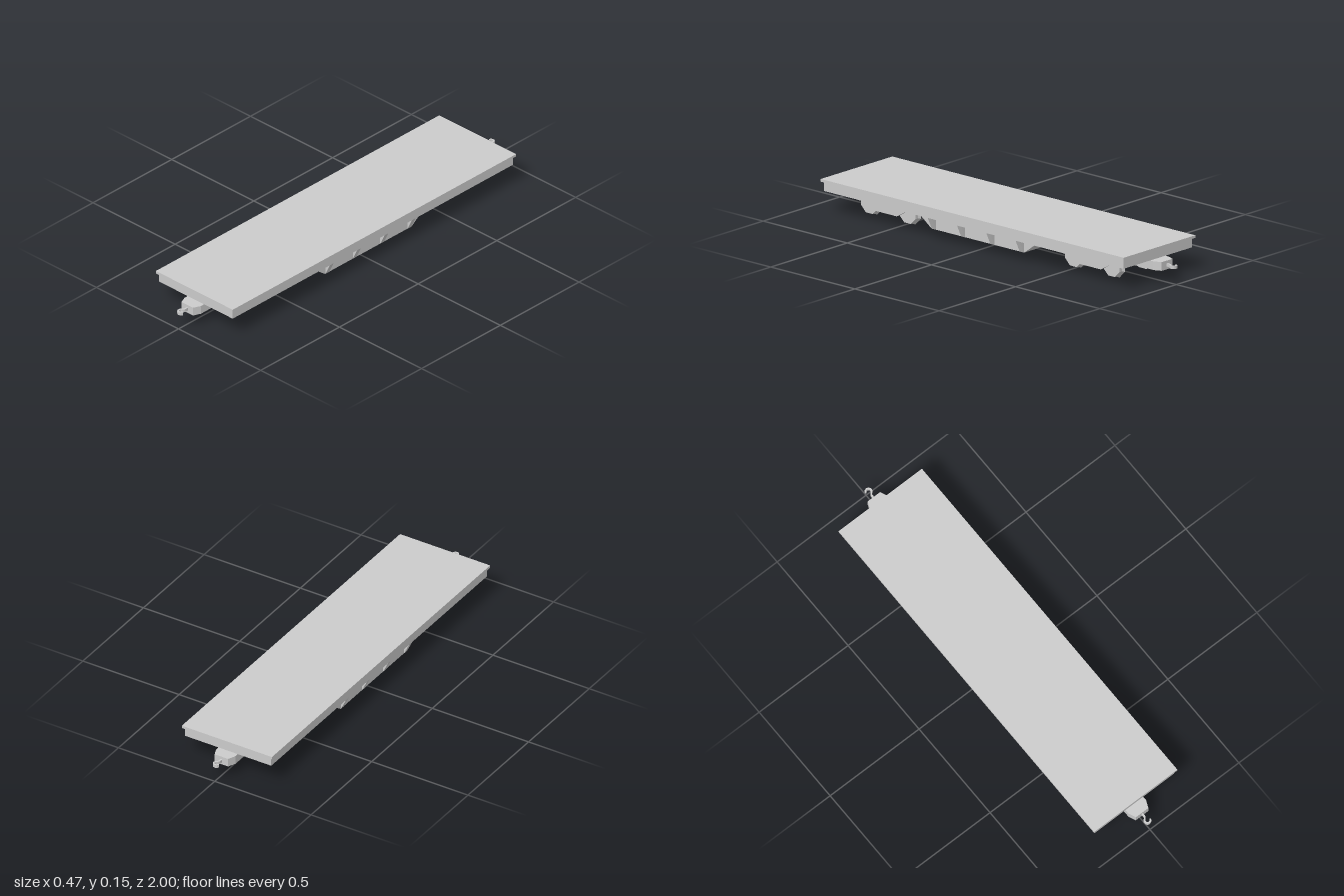
import * as THREE from 'three';

const mat = new THREE.MeshStandardMaterial({ color: 0xcccccc, flatShading: true });

function add(parent, name, geo, x = 0, y = 0, z = 0) {
  const m = new THREE.Mesh(geo, mat);
  m.name = name;
  m.position.set(x, y, z);
  parent.add(m);
  return m;
}

function extrude(points, depth) {
  const shape = new THREE.Shape(points.map(([a, b]) => new THREE.Vector2(a, b)));
  return new THREE.ExtrudeGeometry(shape, { depth, bevelEnabled: false, curveSegments: 6 });
}

// Outline given as (z, y), swept across x and centred on x = 0
function sideProfile(points, width) {
  return extrude(points, width).translate(0, 0, -width / 2).rotateY(-Math.PI / 2);
}

// Eight-sided wheel with its flange towards the track centre
function wheelGeometry() {
  const profile = [[0, -0.0135], [0.06, -0.0135], [0.052, -0.001], [0.052, 0.0135], [0, 0.0135]]
    .map(([r, h]) => new THREE.Vector2(r, h));
  return new THREE.LatheGeometry(profile, 8, Math.PI / 8).rotateZ(-Math.PI / 2);
}

function createBogie() {
  const bogie = new THREE.Group();
  bogie.name = 'bogie';
  const wheel = wheelGeometry();
  const frame = sideProfile([
    [-0.168, 0.062], [-0.115, 0.062], [-0.065, 0.033], [0.065, 0.033],
    [0.115, 0.062], [0.168, 0.062], [0.168, 0.085], [-0.168, 0.085],
  ], 0.017);
  for (const side of [1, -1]) {
    add(bogie, 'sideFrame', frame, side * 0.1235);
    for (const z of [0.1135, -0.1135]) {
      const w = add(bogie, 'wheel', wheel, side * 0.1015, 0.056, z);
      if (side < 0) w.rotation.y = Math.PI;
    }
  }
  add(bogie, 'bolster', new THREE.BoxGeometry(0.235, 0.052, 0.11), 0, 0.059, 0);
  return bogie;
}

function createCoupler() {
  const coupler = new THREE.Group();
  coupler.name = 'coupler';
  // Tapered draft box, drawn as (x, -z) and stood up along y
  const box = extrude([
    [-0.05, -0.86], [-0.05, -0.91], [-0.035, -0.945],
    [0.035, -0.945], [0.05, -0.91], [0.05, -0.86],
  ], 0.04).rotateX(-Math.PI / 2);
  add(coupler, 'draftBox', box, 0, 0.06, 0);

  // Flat hook: offset a centre line to both sides to get its outline
  const line = new THREE.CatmullRomCurve3([
    [0, 0.94], [0, 0.962], [-0.004, 0.969], [-0.012, 0.976],
    [-0.013, 0.988], [-0.005, 0.996], [0.006, 0.995], [0.013, 0.986],
  ].map(([x, z]) => new THREE.Vector3(x, -z, 0)));
  const left = [], right = [];
  for (let i = 0; i <= 16; i++) {
    const p = line.getPoint(i / 16), t = line.getTangent(i / 16);
    left.push([p.x - t.y * 0.004, p.y + t.x * 0.004]);
    right.unshift([p.x + t.y * 0.004, p.y - t.x * 0.004]);
  }
  const hook = extrude([...left, ...right], 0.014).rotateX(-Math.PI / 2);
  add(coupler, 'hook', hook, 0, 0.073, 0);
  return coupler;
}

export function createModel() {
  const car = new THREE.Group();
  car.name = 'flatWagon';

  // Load floor and frame
  add(car, 'deck', new THREE.BoxGeometry(0.468, 0.012, 1.8), 0, 0.149, 0);
  add(car, 'frame', new THREE.BoxGeometry(0.448, 0.043, 1.78), 0, 0.1215, 0);

  // Deep belly with sloped ends, and the sill running along the middle
  add(car, 'belly', sideProfile([[-0.275, 0.045], [0.275, 0.045], [0.35, 0.1], [-0.35, 0.1]], 0.394));
  add(car, 'centreSill', new THREE.BoxGeometry(0.1, 0.04, 1.74), 0, 0.08, 0);

  // Triangular gussets between belly and frame edge
  const rib = extrude([[0.196, 0.045], [0.198, 0.045], [0.224, 0.1], [0.196, 0.1]], 0.024)
    .translate(0, 0, -0.012);
  for (let i = 0; i < 4; i++) {
    for (const side of [1, -1]) {
      const g = add(car, 'gusset', rib, 0, 0, -0.261 + i * 0.174);
      if (side < 0) g.rotation.y = Math.PI;
    }
  }

  // Running gear and couplers at both ends
  for (const end of [1, -1]) {
    const bogie = createBogie();
    bogie.position.z = end * 0.606;
    car.add(bogie);
    const coupler = createCoupler();
    if (end < 0) coupler.rotation.y = Math.PI;
    car.add(coupler);
  }
  return car;
}
